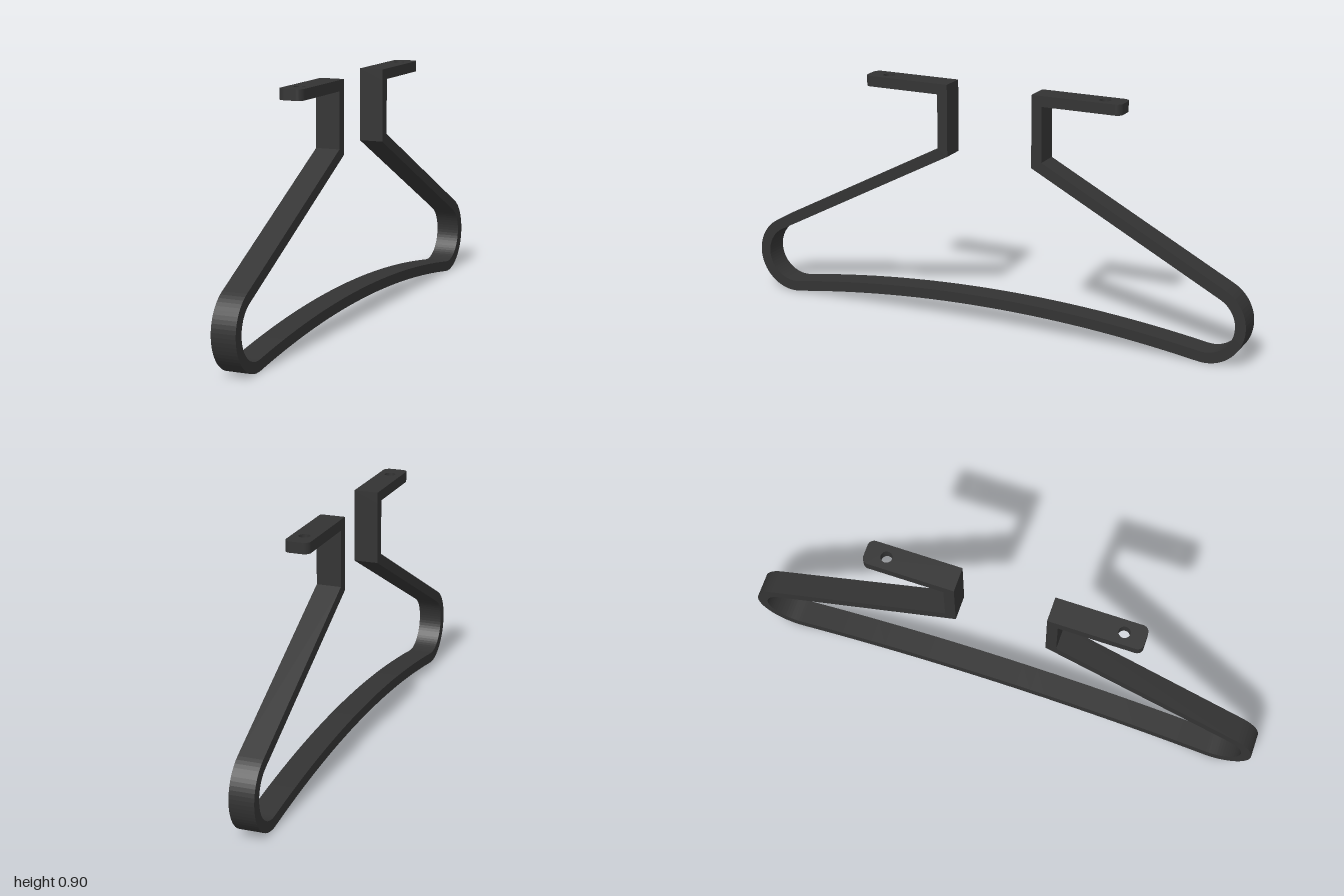
import * as THREE from 'three';

const WIDTH = 0.092, T = 0.04, TOP = 0.905;   // strap width, strap thickness, overall height
const R = 0.15, CZ = 0.85, CY = 0.15;         // outer end bend: radius and centre
const SLOPE = THREE.MathUtils.degToRad(27.8); // shoulder angle
const POST = 0.17, TAB_END = 0.513, HOLE_Z = 0.435, HOLE_R = 0.021;

// Bottom bow: circle tangent to the end bends, its underside peaking at height BOW_Y
const BOW_Y = 0.068, D = CY - BOW_Y;
const BOW_R = (CZ * CZ + D * D - R * R) / (2 * (R - D));
const BOW_A = Math.asin(CZ / (BOW_R + R));

// Points along an arc, in (z, y)
function arc(cz, cy, r, from, to, n) {
  return Array.from({ length: n + 1 }, (_, i) => {
    const a = from + (to - from) * i / n;
    return new THREE.Vector2(cz + r * Math.cos(a), cy + r * Math.sin(a));
  });
}

// One edge of the strap, from the post top to the middle of the bow, then mirrored
function edge(inset, postZ) {
  const r = R - inset;
  const elbowY = CY + (r - (postZ - CZ) * Math.sin(SLOPE)) / Math.cos(SLOPE);
  const half = [
    new THREE.Vector2(postZ, TOP - T),
    new THREE.Vector2(postZ, elbowY),
    ...arc(CZ, CY, r, Math.PI / 2 - SLOPE, -Math.PI / 2 - BOW_A, 28),
    ...arc(0, BOW_Y - BOW_R, BOW_R + inset, Math.PI / 2 - BOW_A, Math.PI / 2, 14).slice(1),
  ];
  const mirrored = half.slice(0, -1).reverse().map(p => new THREE.Vector2(-p.x, p.y));
  return [...half, ...mirrored];
}

export function createModel() {
  const group = new THREE.Group();
  group.name = 'bracket';
  const material = new THREE.MeshStandardMaterial({ color: 0x333333 });

  // Bent strap: posts, sloping shoulders, rounded ends and bowed bottom
  const outline = [...edge(0, POST + T), ...edge(T, POST).reverse()];
  const strapGeometry = new THREE.ExtrudeGeometry(new THREE.Shape(outline), { depth: WIDTH, bevelEnabled: false });
  strapGeometry.translate(0, 0, -WIDTH / 2).rotateY(-Math.PI / 2);
  const strap = new THREE.Mesh(strapGeometry, material);
  strap.name = 'strap';
  group.add(strap);

  // Mounting tab: rounded free corners and a screw hole
  const w = WIDTH / 2, c = 0.024;
  const tabShape = new THREE.Shape();
  tabShape.moveTo(-w, POST);
  tabShape.lineTo(w, POST);
  tabShape.lineTo(w, TAB_END - c);
  tabShape.absarc(w - c, TAB_END - c, c, 0, Math.PI / 2, false);
  tabShape.absarc(-w + c, TAB_END - c, c, Math.PI / 2, Math.PI, false);
  tabShape.closePath();
  const hole = new THREE.Path();
  hole.absarc(0, HOLE_Z, HOLE_R, 0, Math.PI * 2, true);
  tabShape.holes.push(hole);
  const tabGeometry = new THREE.ExtrudeGeometry(tabShape, { depth: T, bevelEnabled: false, curveSegments: 12 });
  tabGeometry.rotateX(Math.PI / 2);

  for (const [name, turn] of [['frontTab', 0], ['backTab', Math.PI]]) {
    const tab = new THREE.Mesh(tabGeometry, material);
    tab.name = name;
    tab.position.y = TOP;
    tab.rotation.y = turn;
    group.add(tab);
  }
  return group;
}
